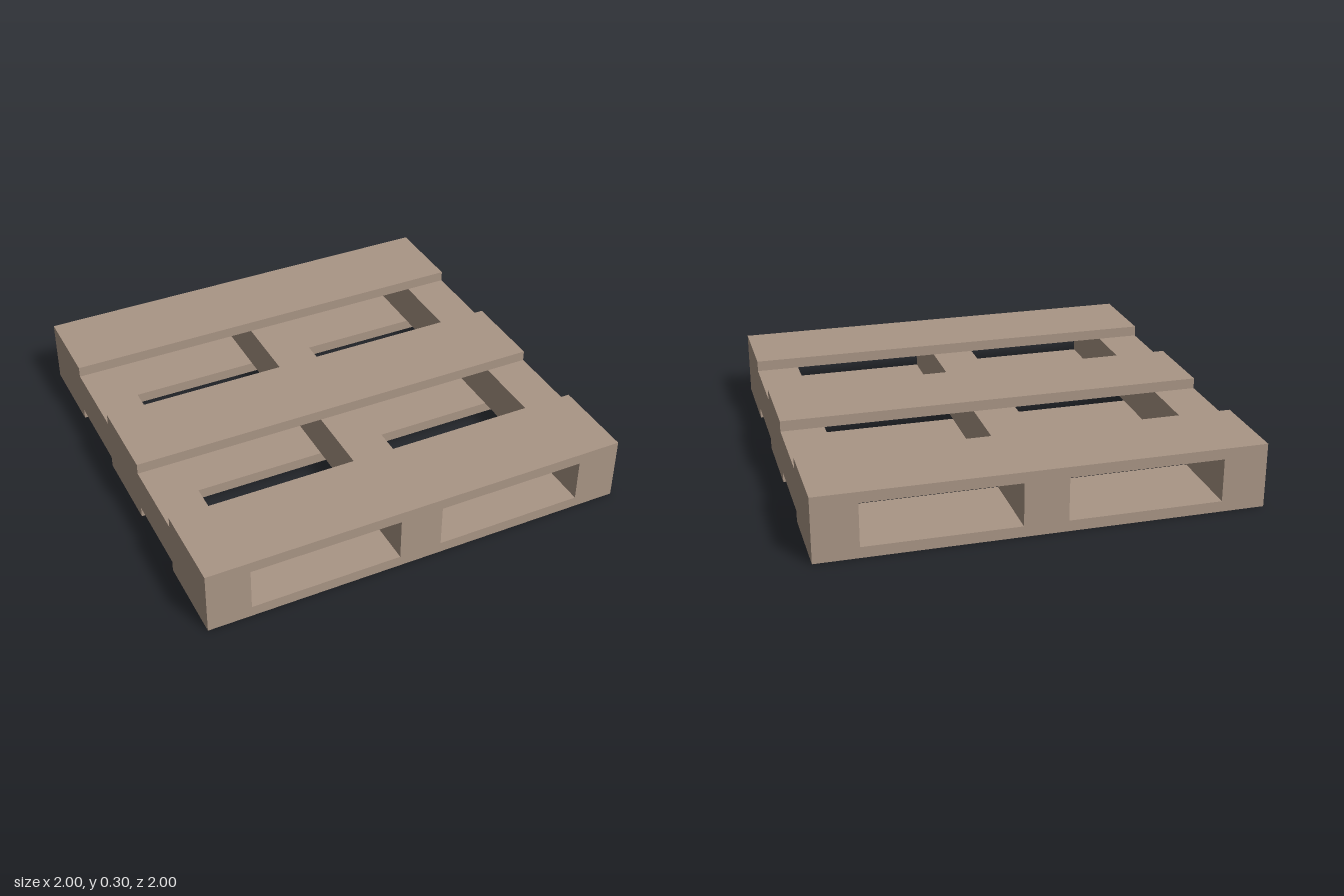
import * as THREE from 'three';

export function createModel() {
  const group = new THREE.Group();
  group.name = 'pallet';
  const wood = new THREE.MeshStandardMaterial({ color: 0xa99585 });
  wood.name = 'wood';

  function addBox(name, size, position) {
    const mesh = new THREE.Mesh(new THREE.BoxGeometry(...size), wood);
    mesh.name = name;
    mesh.position.set(...position);
    group.add(mesh);
  }

  // Three stringers running front to back
  const stringers = { rightStringer: -0.9, middleStringer: 0, leftStringer: 0.9 };
  for (const [name, x] of Object.entries(stringers)) {
    addBox(name, [0.2, 0.2, 2], [x, 0.15, 0]);
  }

  // Matching deck boards across the top and bottom; the middle pair sits slightly forward
  const boards = { back: -0.8, middle: 0.01, front: 0.8 };
  for (const [name, z] of Object.entries(boards)) {
    addBox(name + 'TopBoard', [2, 0.05, 0.4], [0, 0.275, z]);
    addBox(name + 'BottomBoard', [2, 0.05, 0.4], [0, 0.025, z]);
  }
  return group;
}
